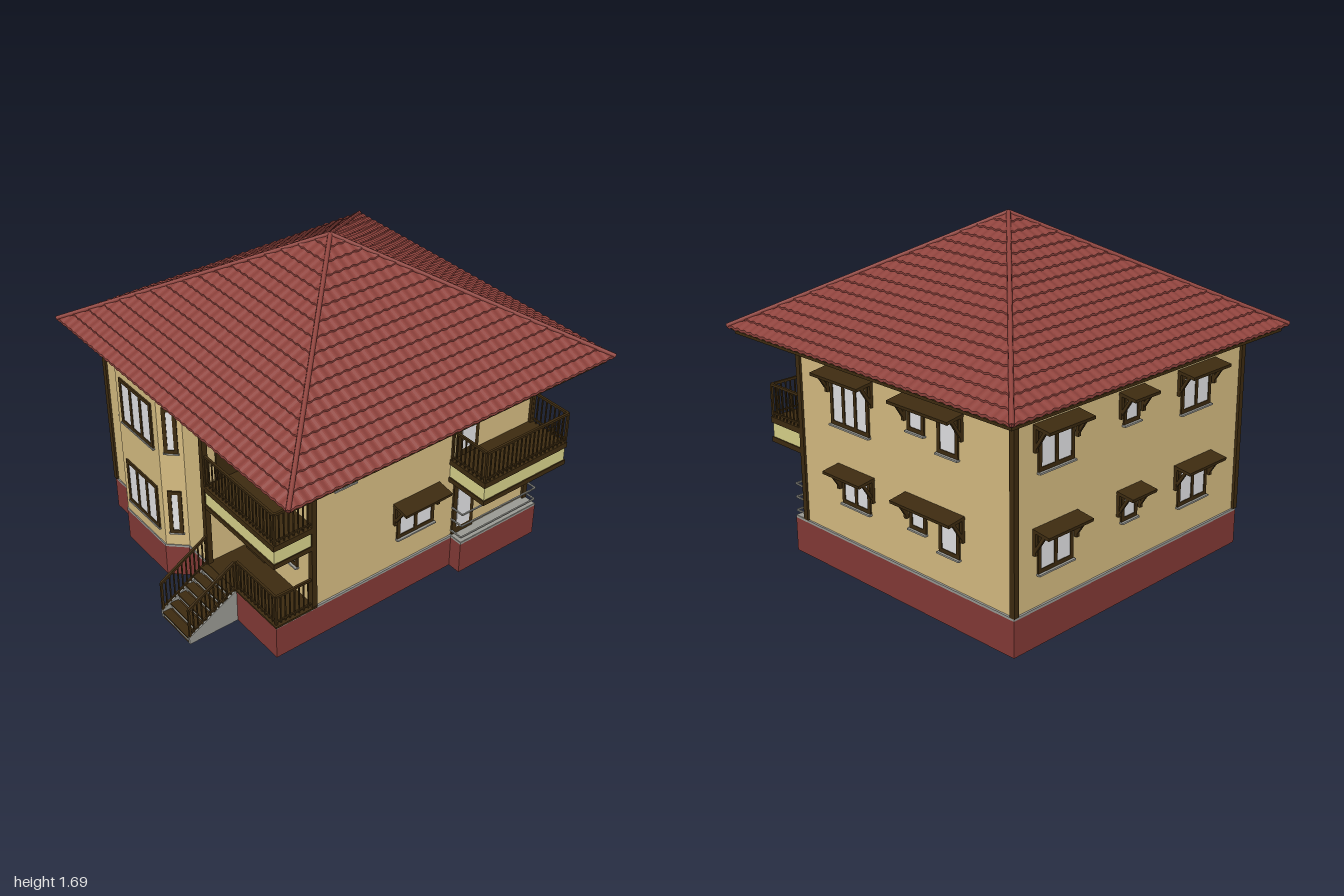
import * as THREE from 'three';

const mat = (name, color) => Object.assign(new THREE.MeshStandardMaterial({ color }), { name });
const M = {
  plaster: mat('plaster', 0xd7bd82), brick: mat('plinth red', 0x843a36), tile: mat('roof red', 0x8e423c),
  wood: mat('dark wood', 0x3d2b10), glass: mat('glass', 0xe3e3e5), stone: mat('stone grey', 0x9a9a94),
  band: mat('balcony yellow', 0xdad48b),
};
M.tile.side = THREE.DoubleSide;
const V = (x, y, z) => new THREE.Vector3(x, y, z);

function add(parent, name, geo, material) {
  const m = new THREE.Mesh(geo, material);
  m.name = name;
  parent.add(m);
  return m;
}
// Box given by its min and max on each axis
function box(parent, name, material, x0, x1, y0, y1, z0, z1) {
  const m = add(parent, name, new THREE.BoxGeometry(x1 - x0, y1 - y0, z1 - z0), material);
  m.position.set((x0 + x1) / 2, (y0 + y1) / 2, (z0 + z1) / 2);
  return m;
}
// Square bar between two points
function bar(parent, name, material, a, b, t) {
  const m = add(parent, name, new THREE.BoxGeometry(t, t, a.distanceTo(b)), material);
  m.position.copy(a).lerp(b, 0.5);
  m.quaternion.setFromUnitVectors(V(0, 0, 1), b.clone().sub(a).normalize());
}
// Vertical extrusion of an [x, z] plan, with an optional hole wound the other way
function plan(parent, name, material, pts, y0, y1, hole) {
  const toV = (l) => l.map(([x, z]) => new THREE.Vector2(x, -z));
  const s = new THREE.Shape(toV(pts));
  if (hole) s.holes.push(new THREE.Path(toV(hole).reverse()));
  const g = new THREE.ExtrudeGeometry(s, { depth: y1 - y0, bevelEnabled: false });
  g.rotateX(-Math.PI / 2).translate(0, y0, 0);
  add(parent, name, g, material);
}
function railing(parent, a, b, h) {
  const g = new THREE.Group();
  g.name = 'railing';
  parent.add(g);
  const up = (p, d) => p.clone().add(V(0, d, 0));
  bar(g, 'handrail', M.wood, up(a, h), up(b, h), 0.012);
  bar(g, 'lowerRail', M.wood, up(a, 0.02), up(b, 0.02), 0.008);
  const n = Math.max(2, Math.round(a.distanceTo(b) / 0.027));
  for (let i = 0; i <= n; i++) {
    const p = a.clone().lerp(b, i / n), end = i === 0 || i === n;
    bar(g, 'baluster', M.wood, p, up(p, h), end ? 0.011 : 0.006);
  }
}
const rect = (P, x0, x1, y0, y1) => new P().moveTo(x0, y0).lineTo(x1, y0).lineTo(x1, y1).lineTo(x0, y1).closePath();

// Window in a wall's local plane: frame with one hole per pane, glass behind, sill below
function windowUnit(wall, u0, u1, y0, y1, panes, sill = 0.02) {
  const g = new THREE.Group();
  g.name = 'window';
  wall.add(g);
  const f = 0.019, s = rect(THREE.Shape, u0, u1, y0, y1), w = (u1 - u0 - f) / panes;
  for (let i = 0; i < panes; i++) s.holes.push(rect(THREE.Path, u0 + f + i * w, u0 + (i + 1) * w, y0 + f, y1 - f));
  const frame = add(g, 'windowFrame', new THREE.ExtrudeGeometry(s, { depth: 0.014, bevelEnabled: false }), M.wood);
  frame.position.z = -0.006;
  box(g, 'glass', M.glass, u0 + 0.005, u1 - 0.005, y0 + 0.005, y1 - 0.005, -0.002, 0.004);
  box(g, 'sill', M.stone, u0 - 0.004, u1 + 0.004, y0 - 0.008, y0, -0.005, sill);
}
function door(wall, u0, u1, y0, y1, glazed) {
  box(wall, 'doorFrame', M.wood, u0, u1, y0, y1, -0.005, 0.01);
  if (glazed) box(wall, 'doorGlass', M.glass, u0 + 0.025, u1 - 0.025, y0 + 0.04, y1 - 0.035, 0.005, 0.013);
  else box(wall, 'doorHandle', M.stone, u1 - 0.025, u1 - 0.015, y0 + 0.15, y0 + 0.17, 0.005, 0.02);
}
// Small sloping canopy on two brackets
function hood(wall, u0, u1, y) {
  const g = new THREE.Group();
  g.name = 'hood';
  wall.add(g);
  const roof = box(g, 'hoodRoof', M.wood, u0, u1, y - 0.018, y - 0.003, 0, 0.095);
  roof.rotation.x = 0.14;
  for (const u of [u0 + 0.01, u1 - 0.01]) {
    bar(g, 'bracketPost', M.wood, V(u, y - 0.12, 0.008), V(u, y - 0.01, 0.008), 0.016);
    bar(g, 'bracketStrut', M.wood, V(u, y - 0.1, 0.01), V(u, y - 0.018, 0.062), 0.014);
  }
}
function wallPlane(parent, name, x, z, rot) {
  const g = new THREE.Group();
  g.name = name;
  g.position.set(x, 0, z);
  g.rotation.y = rot;
  parent.add(g);
  return g;
}
// One hip of the roof: stepped courses with a wave across them, starting with a small eave lip
function roofSide(R, y0, y1) {
  const rows = 17, step = 0.00625, n = Math.round(R / step) + 1, pos = [], lines = [[0, -0.005]];
  for (let i = 0; i < rows; i++) lines.push([i / rows, 0.008], [(i + 1) / rows, 0]);
  const pt = ([t, lift], k) => {
    const w = R * (1 - t), u = THREE.MathUtils.clamp(k * step, -w, w);
    return [u, y0 + (y1 - y0) * t + lift + 0.003 * Math.cos(u * Math.PI * 40), w];
  };
  for (let i = 0; i + 1 < lines.length; i++) for (let k = -n; k < n; k++) {
    const a = pt(lines[i], k), b = pt(lines[i], k + 1), c = pt(lines[i + 1], k + 1), d = pt(lines[i + 1], k);
    if (a[0] !== b[0]) pos.push(...a, ...b, ...c);
    if (c[0] !== d[0]) pos.push(...a, ...c, ...d);
  }
  const g = new THREE.BufferGeometry();
  g.setAttribute('position', new THREE.Float32BufferAttribute(pos, 3));
  g.computeVertexNormals();
  return g;
}

export function createModel() {
  const house = new THREE.Group();
  house.name = 'house';

  // Hollow plinth with inner foundation walls
  const outer = [[-0.8, -0.84], [0.69, -0.84], [0.69, -0.33], [0.62, -0.33], [0.62, 0.73], [-0.1, 0.73],
    [-0.18, 0.815], [-0.54, 0.815], [-0.62, 0.73], [-0.8, 0.73]];
  const inner = [[-0.76, -0.8], [0.65, -0.8], [0.65, -0.37], [0.58, -0.37], [0.58, 0.69], [-0.12, 0.69],
    [-0.2, 0.775], [-0.52, 0.775], [-0.6, 0.69], [-0.76, 0.69]];
  plan(house, 'plinth', M.brick, outer, 0, 0.175, inner);
  plan(house, 'plinthLedge', M.stone, outer, 0.175, 0.187, inner);
  for (const [x0, x1, z0, z1] of [[-0.76, 0, -0.15, -0.1], [-0.04, 0.01, -0.8, -0.4], [-0.4, -0.35, -0.8, -0.15],
    [0.06, 0.58, 0.47, 0.51], [0.04, 0.08, 0.47, 0.69]]) box(house, 'foundationWall', M.brick, x0, x1, 0.02, 0.18, z0, z1);
  box(house, 'utilityFloor', M.stone, 0.01, 0.6, 0.172, 0.182, -0.8, -0.38);
  box(house, 'terraceSlab', M.stone, 0.6, 0.688, 0.17, 0.189, -0.838, -0.332);
  box(house, 'porchSlab', M.stone, 0.06, 0.615, 0.165, 0.186, 0.5, 0.725);
  box(house, 'porchFloor', M.wood, 0.06, 0.625, 0.183, 0.193, 0.5, 0.735);

  // Walls with the bay and the porch recess
  plan(house, 'walls', M.plaster, [[-0.79, -0.83], [0.61, -0.83], [0.61, 0.51], [0.065, 0.51], [0.065, 0.725],
    [-0.1, 0.725], [-0.18, 0.81], [-0.54, 0.81], [-0.62, 0.725], [-0.79, 0.725]], 0.18, 1.1);
  for (const [x, z] of [[-0.79, 0.722], [0.065, 0.722], [0.608, 0.512], [0.61, -0.828], [-0.79, -0.828]])
    box(house, 'cornerPost', M.wood, x - 0.014, x + 0.014, 0.187, 1.1, z - 0.014, z + 0.014);

  // Bay windows on both floors
  const bay = wallPlane(house, 'bayFront', -0.36, 0.81, 0);
  const a = Math.atan2(0.085, 0.08);
  const bayL = wallPlane(house, 'bayLeftSide', -0.14, 0.7675, a);
  const bayR = wallPlane(house, 'bayRightSide', -0.58, 0.7675, -a);
  for (const y of [0.265, 0.74]) {
    windowUnit(bay, -0.14, 0.14, y, y + 0.252, 3, 0.012);
    for (const w of [bayL, bayR]) windowUnit(w, -0.034, 0.034, y, y + 0.252, 1, 0.01);
  }

  // Porch wall and the balcony door round the corner
  const porch = wallPlane(house, 'porchWall', 0, 0.51, 0);
  door(porch, 0.085, 0.235, 0.193, 0.52, false);
  windowUnit(porch, 0.27, 0.495, 0.345, 0.52, 2);
  door(wallPlane(house, 'balconyInnerWall', 0.065, 0, Math.PI / 2), -0.66, -0.53, 0.66, 0.99, false);

  // Left wall (+x), local u = -z
  const east = wallPlane(house, 'leftWall', 0.61, 0, Math.PI / 2);
  windowUnit(east, -0.4, -0.28, 0.81, 0.99, 1);
  windowUnit(east, -0.2, -0.08, 0.855, 0.99, 1);
  hood(east, -0.425, -0.055, 1.02);
  windowUnit(east, 0.07, 0.19, 0.855, 0.99, 1);
  hood(east, 0.05, 0.215, 1.02);
  windowUnit(east, -0.02, 0.21, 0.34, 0.525, 2);
  hood(east, -0.045, 0.24, 0.555);
  for (const y of [0.19, 0.66]) door(east, 0.335, 0.47, y, y + 0.332, true);

  // Right wall (-x), local u = z, and back wall, local u = -x
  const west = wallPlane(house, 'rightWall', -0.79, 0, -Math.PI / 2);
  const back = wallPlane(house, 'backWall', 0, -0.83, Math.PI);
  for (const top of [0.99, 0.525]) {
    windowUnit(west, -0.69, -0.47, top - 0.185, top, 2);
    hood(west, -0.72, -0.44, top + 0.03);
    windowUnit(west, -0.15, -0.04, top - 0.125, top, 1);
    hood(west, -0.18, -0.01, top + 0.03);
    windowUnit(west, 0.26, 0.48, top - 0.185, top, 2);
    hood(west, 0.23, 0.51, top + 0.03);
    windowUnit(back, 0.15, 0.26, top - 0.13, top, 1);
    windowUnit(back, 0.34, 0.47, top - 0.18, top, 1);
    hood(back, 0.12, 0.5, top + 0.03);
  }
  windowUnit(back, -0.38, -0.11, 0.75, 0.99, 3);
  hood(back, -0.41, -0.08, 1.02);
  windowUnit(back, -0.32, -0.12, 0.37, 0.525, 2);
  hood(back, -0.35, -0.09, 0.555);

  // Balconies: timber ring, yellow band, timber floor
  for (const [x0, x1, z0, z1] of [[0.07, 0.62, 0.5, 0.735], [0.6, 0.85, -0.84, -0.3]]) {
    const ring = (d) => [[x0 + d, z0 + d], [x1 - d, z0 + d], [x1 - d, z1 - d], [x0 + d, z1 - d]];
    plan(house, 'balconyBeam', M.wood, ring(0), 0.53, 0.556, ring(0.035));
    plan(house, 'balconyBand', M.band, ring(0.006), 0.555, 0.631);
    plan(house, 'balconyFloor', M.wood, ring(0), 0.63, 0.66);
  }
  railing(house, V(0.08, 0.66, 0.722), V(0.61, 0.66, 0.722), 0.166);
  railing(house, V(0.61, 0.66, 0.722), V(0.61, 0.66, 0.515), 0.166);
  railing(house, V(0.62, 0.66, -0.308), V(0.842, 0.66, -0.308), 0.166);
  railing(house, V(0.842, 0.66, -0.308), V(0.842, 0.66, -0.832), 0.166);
  railing(house, V(0.842, 0.66, -0.832), V(0.62, 0.66, -0.832), 0.166);
  railing(house, V(0.305, 0.19, 0.722), V(0.61, 0.19, 0.722), 0.166);
  railing(house, V(0.61, 0.19, 0.722), V(0.61, 0.19, 0.515), 0.166);

  // Terrace rails
  for (const y of [0.215, 0.285, 0.355]) {
    const p = [V(0.61, y, -0.335), V(0.685, y, -0.335), V(0.685, y, -0.835), V(0.61, y, -0.835)];
    for (let i = 0; i < 3; i++) bar(house, 'terraceRail', M.stone, p[i], p[i + 1], 0.007);
  }

  // Front steps with sloping sides and a timber underside
  const steps = 6, run = 0.27 / steps, rise = 0.19 / steps;
  for (let i = 0; i < steps; i++) {
    const z = 1 - i * run, y = (i + 1) * rise;
    box(house, 'riser', M.stone, 0.07, 0.29, y - rise, y - 0.008, z - run, z - 0.006);
    box(house, 'tread', M.wood, 0.065, 0.3, y - 0.008, y, z - run, z);
  }
  const slope = (pts, depth) => new THREE.ExtrudeGeometry(new THREE.Shape(pts.map((p) => new THREE.Vector2(...p))),
    { depth, bevelEnabled: false }).rotateY(-Math.PI / 2);
  add(house, 'stairUnderside', slope([[0.73, 0.12], [0.96, 0], [0.998, 0], [0.73, 0.15]], 0.23), M.wood).position.x = 0.297;
  for (const x of [0.072, 0.305]) {
    add(house, 'stairSide', slope([[0.73, 0], [1, 0], [1, 0.04], [0.73, 0.185]], 0.012), M.stone).position.x = x;
    railing(house, V(x - 0.006, 0.185, 0.735), V(x - 0.006, 0.035, 0.993), 0.17);
  }

  // Hipped roof with eaves
  const roof = new THREE.Group();
  roof.name = 'roof';
  roof.position.z = -0.055;
  house.add(roof);
  const R = 0.94, eave = 1.131, peak = 1.675;
  box(roof, 'soffit', M.plaster, -0.9, 0.9, 1.093, 1.101, -0.9, 0.9);
  box(roof, 'lowerFascia', M.wood, -0.915, 0.915, 1.097, 1.115, -0.915, 0.915);
  box(roof, 'upperFascia', M.wood, -0.925, 0.925, 1.115, 1.134, -0.925, 0.925);
  const tiles = roofSide(R, eave, peak);
  for (let i = 0; i < 4; i++) {
    add(roof, 'roofTiles', tiles, M.tile).rotation.y = i * Math.PI / 2;
    const sx = i % 2 ? 1 : -1, sz = i < 2 ? 1 : -1;
    const hip = new THREE.LineCurve3(V(sx * R, eave + 0.004, sz * R), V(0, peak + 0.002, 0));
    add(roof, 'hipCap', new THREE.TubeGeometry(hip, 1, 0.011, 8), M.tile);
  }
  return house;
}
